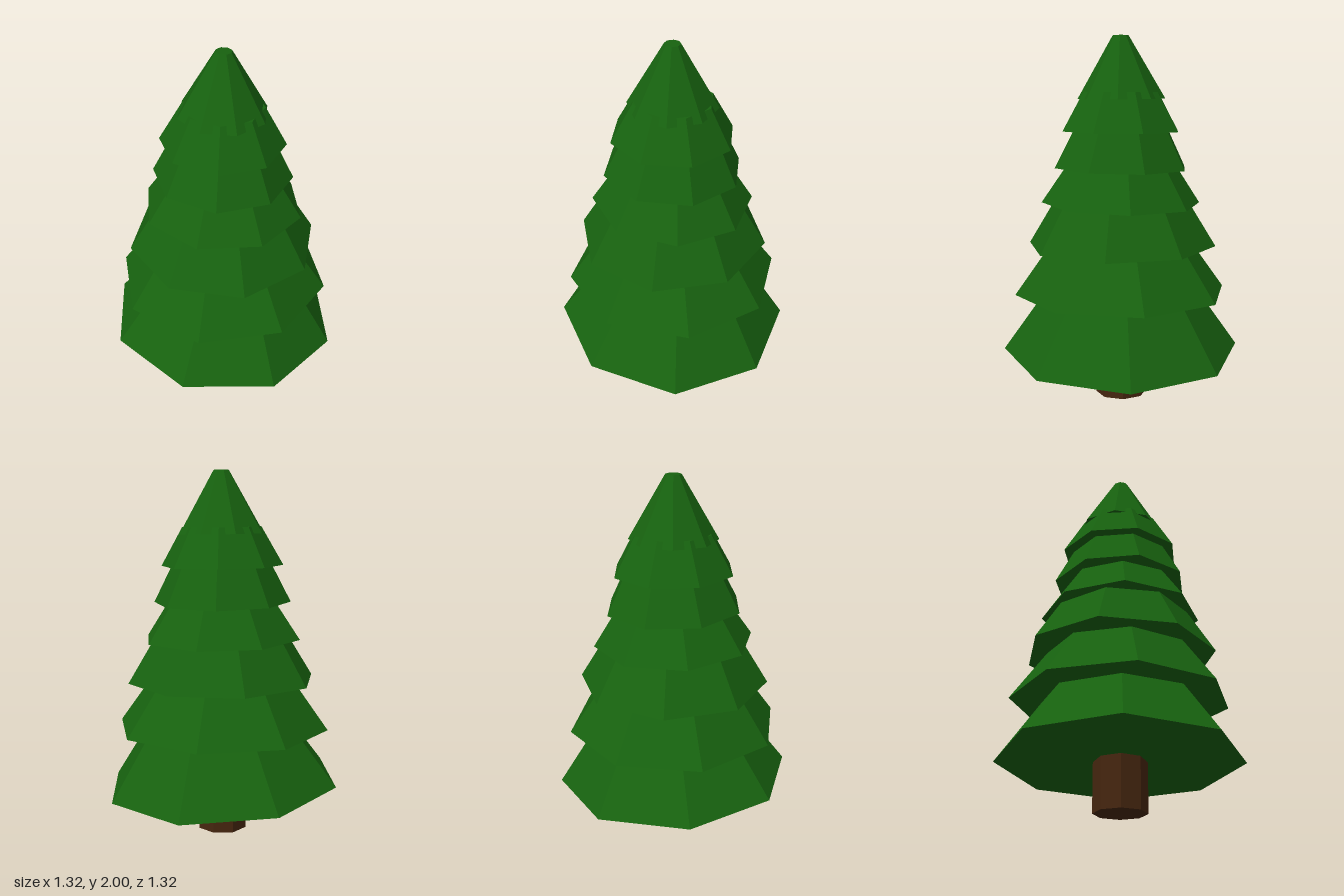
import * as THREE from 'three';

const green = new THREE.MeshStandardMaterial({ color: 0x17620f, flatShading: true });
const brown = new THREE.MeshStandardMaterial({ color: 0x46260f, flatShading: true });

// Eight-sided frustum whose pivot is the centre of its bottom face
function frustum(name, material, bottom, top, rBottom, rTop) {
  const h = top - bottom;
  const geometry = new THREE.CylinderGeometry(rTop, rBottom, h, 8).translate(0, h / 2, 0);
  const mesh = new THREE.Mesh(geometry, material);
  mesh.name = name;
  mesh.position.y = bottom;
  return mesh;
}

export function createModel() {
  const tree = new THREE.Group();
  tree.name = 'pineTree';

  tree.add(frustum('trunk', brown, 0, 0.4, 0.143, 0.143));

  // Foliage tiers: bottom y, top y, bottom radius, top radius, twist in degrees, tilt about x, tilt about z
  const tiers = [
    [0.267, 0.592, 0.66, 0.43, 0, -0.042, -0.043],
    [0.593, 0.87, 0.595, 0.395, 7, 0, 0],
    [0.857, 1.11, 0.525, 0.37, -13, 0, -0.01],
    [1.093, 1.31, 0.44, 0.295, 2, -0.028, -0.007],
    [1.29, 1.51, 0.377, 0.265, 14.5, -0.025, -0.005],
    [1.49, 1.7, 0.334, 0.215, 15.5, -0.012, -0.01],
    [1.662, 2, 0.24, 0.043, -8.5, 0, -0.015],
  ];
  tiers.forEach(([y0, y1, r0, r1, twist, tiltX, tiltZ], i) => {
    const tier = frustum('foliageTier' + (i + 1), green, y0, y1, r0, r1);
    tier.rotation.set(tiltX, THREE.MathUtils.degToRad(twist), tiltZ, 'XZY');
    tree.add(tier);
  });

  return tree;
}
